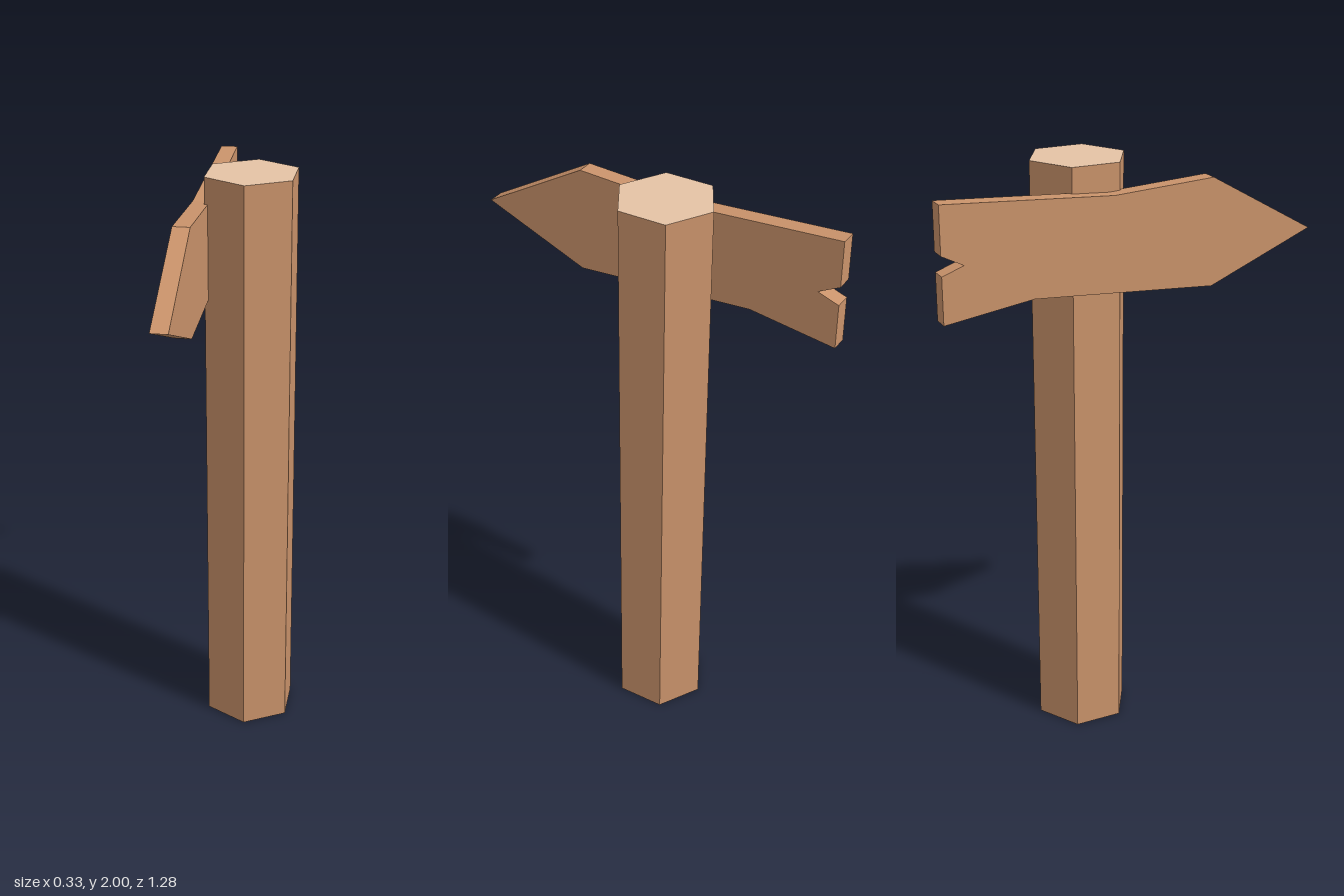
import * as THREE from 'three';

export function createModel() {
  const model = new THREE.Group();
  const wood = new THREE.MeshStandardMaterial({ color: 0xca936b, flatShading: true });
  const cutWood = new THREE.MeshStandardMaterial({ color: 0xe6c3a5, flatShading: true });

  // Hexagonal post with paler cut ends
  const post = new THREE.Mesh(new THREE.CylinderGeometry(0.163, 0.163, 2, 6), [wood, cutWood, cutWood]);
  post.name = 'post';
  post.position.set(0.021, 1, -0.109);
  model.add(post);

  // Arrow board outline as (z, y): point at the front, notched tail at the back
  const outline = [
    [0.64, 1.724], [0.28, 1.93], [-0.065, 1.91], [-0.637, 1.946],
    [-0.637, 1.79], [-0.565, 1.753], [-0.637, 1.727], [-0.637, 1.573],
    [-0.34, 1.616], [0.28, 1.573],
  ].map(([z, y]) => new THREE.Vector2(z, y));
  const boardGeometry = new THREE.ExtrudeGeometry(new THREE.Shape(outline), { depth: 0.056, bevelEnabled: false });
  boardGeometry.rotateY(-Math.PI / 2); // outline runs along z, thickness along -x
  const board = new THREE.Mesh(boardGeometry, wood);
  board.name = 'arrowBoard';
  board.position.x = -0.108;
  model.add(board);

  return model;
}
